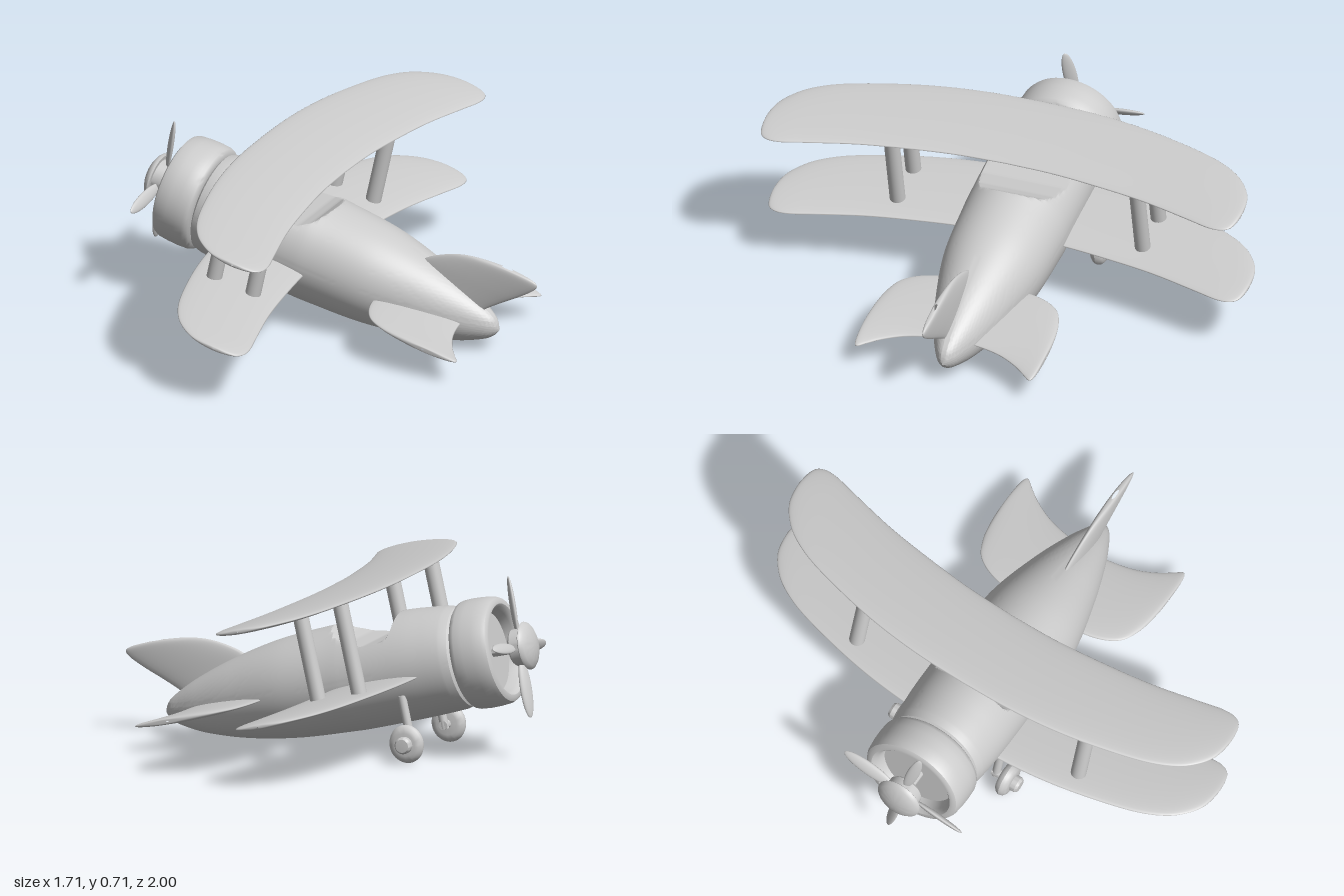
import * as THREE from 'three';
import { toCreasedNormals } from 'three/addons/utils/BufferGeometryUtils.js';

const grey = new THREE.MeshStandardMaterial({ color: 0xcccccc });

function add(parent, name, geometry) {
  const mesh = new THREE.Mesh(geometry, grey);
  mesh.name = name;
  parent.add(mesh);
  return mesh;
}

// Skin between closed rings; rings run counter-clockwise about the direction of advance
function loft(rings, crease) {
  const n = rings[0].length, index = [];
  for (let i = 0; i < rings.length - 1; i++) {
    for (let j = 0; j < n; j++) {
      const k = (j + 1) % n;
      const a = i * n + j, b = i * n + k, c = a + n, d = b + n;
      index.push(a, b, c, b, d, c);
    }
  }
  const g = new THREE.BufferGeometry().setFromPoints(rings.flat());
  g.setIndex(index);
  if (crease) return toCreasedNormals(g, crease);
  g.computeVertexNormals();
  return g;
}

// Thin lens-section surface spanning z, from rows of [span, leading x, trailing x]
function blade(rows, thickness, mirror) {
  const half = new THREE.CatmullRomCurve3(rows.map(r => new THREE.Vector3(...r)), false, 'centripetal').getPoints(48);
  const other = half.slice(1).reverse().map(p => new THREE.Vector3(-p.x, p.y, p.z));
  const stations = mirror ? [...other, ...half] : half;
  const widest = Math.max(...stations.map(p => p.z - p.y));
  return loft(stations.map(p => {
    const c = (p.y + p.z) / 2, h = Math.max((p.z - p.y) / 2, 0);
    const t = thickness / 2 * Math.sqrt(2 * h / widest);
    return Array.from({ length: 32 }, (_, j) => {
      const a = j / 32 * Math.PI * 2;
      return new THREE.Vector3(c + h * Math.cos(a), t * Math.sin(a), p.x);
    });
  }));
}

// Turned part whose profile [radius, x] runs along x
function turned(profile, segments = 64) {
  const g = new THREE.LatheGeometry(profile.map(p => new THREE.Vector2(...p)), segments);
  return toCreasedNormals(g.rotateZ(-Math.PI / 2), 0.6);
}

// Piecewise-linear lookup in column k of rows keyed by column 0
function lookup(rows, x, k = 1) {
  let i = 0;
  while (i < rows.length - 2 && x > rows[i + 1][0]) i++;
  const t = (x - rows[i][0]) / (rows[i + 1][0] - rows[i][0]);
  return THREE.MathUtils.lerp(rows[i][k], rows[i + 1][k], t);
}

function fuselageGeometry() {
  // x, top, bottom, half width
  const body = [
    [0, 0, 0, 0], [0.001, 0.18, -0.18, 0.18], [0.012, 0.195, -0.198, 0.197], [0.04, 0.203, -0.205, 0.205],
    [0.12, 0.211, -0.211, 0.212], [0.234, 0.216, -0.216, 0.217], [0.43, 0.212, -0.221, 0.217],
    [0.523, 0.205, -0.22, 0.215], [0.75, 0.186, -0.21, 0.2], [0.96, 0.142, -0.18, 0.153],
    [1.13, 0.087, -0.134, 0.098], [1.236, 0.038, -0.086, 0.05], [1.275, 0.008, -0.055, 0.023], [1.292, -0.026, -0.027, 0.001],
  ];
  // Cockpit scoop: x, floor height
  const scoop = [[0.234, 0.22], [0.247, 0.157], [0.262, 0.138], [0.285, 0.126], [0.356, 0.122],
    [0.434, 0.14], [0.48, 0.163], [0.523, 0.206]];
  const curve = k => new THREE.SplineCurve(body.slice(1).map(r => new THREE.Vector2(r[0], r[k])));
  const sampled = [1, 2, 3].map(k => curve(k).getPoints(240).map(p => [p.x, p.y]));
  const xs = [...body.slice(1, 4).map(r => r[0]), ...scoop.map(r => r[0])];
  for (let i = 1; i <= 96; i++) xs.push(0.04 + 1.252 * Math.sin(i / 96 * Math.PI / 2));
  for (let i = 0; i < 30; i++) xs.push(0.05 + i * 0.016, 0.235 + i * 0.0014);
  xs.sort((a, b) => a - b);
  const stations = xs.filter((x, i) => i === 0 || x - xs[i - 1] > 1e-4);
  const N = 112;
  const rings = stations.map(x => {
    const [top, bottom, wide] = sampled.map(s => lookup(s, x));
    const cut = x > 0.234 && x < 0.523 ? lookup(scoop, x) : 1;
    return Array.from({ length: N }, (_, j) => {
      const a = j / N * Math.PI * 2;
      const y = (top + bottom) / 2 + (top - bottom) / 2 * Math.cos(a);
      return new THREE.Vector3(x, Math.min(y, cut), wide * Math.sin(a));
    });
  });
  // Close the front end
  rings.unshift(rings[0].map(() => new THREE.Vector3(0.001, 0, 0)));
  return loft(rings, 0.5);
}

export function createModel() {
  const model = new THREE.Group();
  model.name = 'biplane';
  // Everything is built along the nose-to-tail axis, then pitched nose up
  const plane = new THREE.Group();
  plane.name = 'airframe';
  plane.position.set(-0.575, 0.4, 0);
  plane.rotation.z = -THREE.MathUtils.degToRad(12.5);
  model.add(plane);

  add(plane, 'fuselage', fuselageGeometry());

  // Engine cowl: rounded ring with a recessed front plate
  add(plane, 'cowl', turned([
    [0, -0.105], [0.155, -0.105], [0.163, -0.14], [0.17, -0.155], [0.18, -0.163], [0.193, -0.163], [0.205, -0.156],
    [0.212, -0.14], [0.216, -0.1], [0.217, -0.06], [0.215, -0.025], [0.21, -0.01], [0.2, -0.002], [0.185, 0.002], [0, 0.002],
  ]));

  // Propeller
  const propeller = new THREE.Group();
  propeller.name = 'propeller';
  propeller.rotation.x = 0.13;
  plane.add(propeller);
  add(propeller, 'spinner', turned([
    [0, -0.285], [0.03, -0.283], [0.06, -0.276], [0.082, -0.265], [0.093, -0.255], [0.095, -0.248], [0.088, -0.243], [0, -0.243],
  ], 48));
  add(propeller, 'hub', turned([[0, -0.25], [0.068, -0.25], [0.072, -0.245], [0.072, -0.2], [0.066, -0.193], [0, -0.193]], 48));
  add(propeller, 'shaft', turned([[0.022, -0.2], [0.022, -0.1]], 24));
  for (let i = 0; i < 4; i++) {
    const g = new THREE.SphereGeometry(1, 24, 20).scale(0.011, 0.115, 0.027);
    g.rotateY(0.6).translate(-0.216, 0.165, 0).rotateX(i * Math.PI / 2);
    add(propeller, 'propellerBlade', g);
  }

  // Upper and lower wings share one swept planform
  const wing = blade([
    [0, 0.142, 0.516], [0.2, 0.147, 0.522], [0.4, 0.168, 0.543], [0.6, 0.209, 0.573], [0.8, 0.27, 0.62],
    [0.9, 0.327, 0.644], [0.95, 0.378, 0.643], [0.98, 0.425, 0.625], [0.994, 0.47, 0.59], [1, 0.53, 0.535],
  ], 0.032, true);
  add(plane, 'upperWing', wing).position.y = 0.353;
  add(plane, 'lowerWing', wing).position.y = -0.029;

  // Wing struts
  for (const z of [-0.52, 0.507]) {
    for (const x of [0.276, 0.45]) {
      add(plane, 'wingStrut', new THREE.CylinderGeometry(0.031, 0.031, 0.382, 32)).position.set(x, 0.162, z);
    }
  }

  // Tail surfaces
  add(plane, 'tailplane', blade([
    [0, 0.818, 1.157], [0.1, 0.818, 1.163], [0.2, 0.823, 1.188], [0.28, 0.85, 1.229], [0.33, 0.89, 1.267],
    [0.358, 0.95, 1.289], [0.37, 1.0, 1.282], [0.378, 1.07, 1.24], [0.38, 1.14, 1.15],
  ], 0.03, true)).position.y = -0.02;
  const fin = add(plane, 'tailFin', blade([
    [-0.02, 0.83, 1.17], [0.044, 0.865, 1.219], [0.1, 0.895, 1.28], [0.155, 0.933, 1.345], [0.211, 1.023, 1.402],
    [0.236, 1.09, 1.412], [0.249, 1.16, 1.385], [0.256, 1.25, 1.3],
  ], 0.035, false));
  fin.rotation.x = -Math.PI / 2;
  fin.position.z = 0.015;

  // Landing gear
  for (const side of [-1, 1]) {
    const gear = new THREE.Group();
    gear.name = side > 0 ? 'leftLandingGear' : 'rightLandingGear';
    gear.position.set(0.235, -0.276, 0);
    plane.add(gear);
    add(gear, 'gearLeg', new THREE.CylinderGeometry(0.017, 0.017, 0.2, 24)).position.set(0, 0.085, side * 0.188);
    // Each wheel part is turned about its own axle, running outward along z
    const spin = profile => turned(profile, 40).rotateY(-side * Math.PI / 2);
    add(gear, 'wheel', spin([
      [0, 0.214], [0.045, 0.214], [0.06, 0.217], [0.072, 0.228], [0.076, 0.24],
      [0.072, 0.253], [0.06, 0.264], [0.045, 0.267], [0, 0.267],
    ])).scale.x = 0.93;
    add(gear, 'axle', spin([[0, 0.172], [0.018, 0.172], [0.018, 0.285], [0, 0.285]]));
    add(gear, 'hubCap', spin([[0, 0.26], [0.033, 0.26], [0.033, 0.288], [0.026, 0.298], [0, 0.3]]));
  }
  return model;
}
